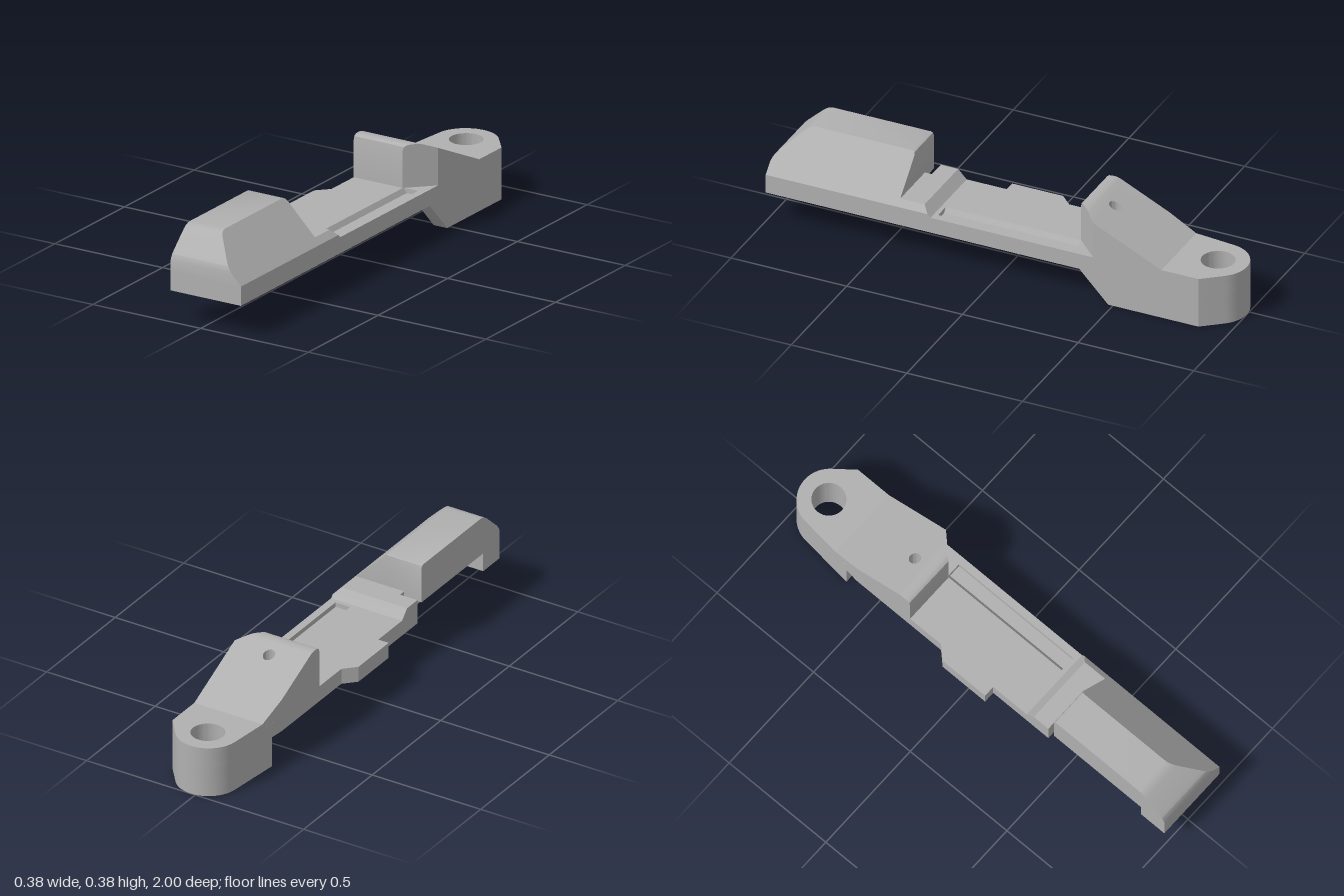
import * as THREE from 'three';
import { mergeGeometries, toCreasedNormals } from 'three/addons/utils/BufferGeometryUtils.js';

const L = -0.14, R = 0.187;            // side faces
const BOTTOM = 0.13, DECK = 0.197, SHELF = 0.21;
const BOSS = [0.02, -0.87];            // pivot boss centre (x, z)

const value = (rule, x, z) => (typeof rule === 'function' ? rule(x, z) : rule);

// Prism over an (x, z) outline; bottom and top are heights or rules of (x, z).
function plate(points, bottom, top, holes = []) {
  const clean = points.filter((p, i) => {
    const q = points[(i + 1) % points.length];
    return Math.hypot(p[0] - q[0], p[1] - q[1]) > 1e-5;
  });
  const shape = new THREE.Shape(clean.map(([x, z]) => new THREE.Vector2(x, -z)));
  for (const [x, z, r] of holes) {
    shape.holes.push(new THREE.Path().absarc(x, -z, r, 0, Math.PI * 2, true));
  }
  const geo = new THREE.ExtrudeGeometry(shape, { depth: 1, bevelEnabled: false, curveSegments: 24 });
  geo.rotateX(-Math.PI / 2);
  const p = geo.attributes.position;
  for (let i = 0; i < p.count; i++) {
    p.setY(i, value(p.getY(i) < 0.5 ? bottom : top, p.getX(i), p.getZ(i)));
  }
  return geo;
}

const rect = (x0, x1, z0, z1) => [[x0, z0], [x1, z0], [x1, z1], [x0, z1]];

// Strips along z following a [z, height] profile, with a 45 degree cut on the +x side.
function chamferedStrips(profile, x0, bottom) {
  const strips = [];
  const edge = (h) => Math.min(R, R + SHELF - h);
  for (let i = 0; i + 1 < profile.length; i++) {
    const [za, ha] = profile[i], [zb, hb] = profile[i + 1];
    const xa = edge(ha), xb = edge(hb);
    const top = (x, z) => ha + (hb - ha) * (z - za) / (zb - za);
    strips.push(plate([[x0, za], [xa, za], [xb, zb], [x0, zb]], bottom, top));
    if (R - xa > 1e-4 || R - xb > 1e-4) {
      strips.push(plate([[xa, za], [R, za], [R, zb], [xb, zb]], bottom, (x) => R + SHELF - x));
    }
  }
  return strips;
}

// Left edge of the tapering rear
const leftAt = (z) => (z > -0.59 ? L : L + 0.032 * (-0.59 - z) / 0.3);

// Rear plan from zFront back around the rounded boss
function rearOutline(zFront) {
  const pts = [[R, zFront], [R, BOSS[1]]];
  for (let i = 0; i <= 24; i++) {
    const a = THREE.MathUtils.degToRad(39 + (171 - 39) * i / 24);
    pts.push([BOSS[0] + 0.13 * Math.cos(a), BOSS[1] - 0.13 * Math.sin(a)]);
  }
  if (zFront > -0.59) pts.push([L, -0.59]);
  pts.push([leftAt(zFront), zFront]);
  return pts;
}

export function createModel() {
  const group = new THREE.Group();
  const grey = new THREE.MeshStandardMaterial({ color: 0xb0b0b0 });
  grey.name = 'grey';

  function add(name, parts) {
    const mesh = new THREE.Mesh(toCreasedNormals(mergeGeometries(parts), 0.6), grey);
    mesh.name = name;
    group.add(mesh);
  }

  const pivotHole = [BOSS[0], -0.875, 0.068];
  const pinHole = [0.02, -0.43, 0.024];
  const screwHole = [0.03, 0.785, 0.022];

  // Long bar with side tab and undercut on the left
  const bar = [
    [R, 1], [L, 1], [L, 0.88], [-0.06, 0.88], [-0.06, 0.4], [L, 0.4],
    [L, 0.115], [-0.188, 0.115], [-0.188, -0.105], [L, -0.155], [L, -0.36], [R, -0.36],
  ];
  const floor = 0.177, g0 = 0.088, g1 = 0.102, g2 = 0.155, gz0 = -0.32, gz1 = 0.27;
  add('bar', [plate(bar, BOTTOM, floor, [screwHole])]);

  // Deck around the side groove, which has one sloping wall
  const frontDeck = [[R, 1], ...bar.slice(1, 6), [L, gz1], [R, gz1]];
  const midLeft = [[L, gz1], ...bar.slice(6, 10), [L, gz0], [g0, gz0], [g0, gz1]];
  add('deck', [
    plate(frontDeck, floor, DECK, [screwHole]),
    plate(midLeft, floor, DECK),
    plate(rect(g2, R, gz0, gz1), floor, DECK),
    plate(rect(L, R, -0.36, gz0), floor, DECK),
  ]);
  add('grooveSlope', [plate(rect(g0, g1, gz0, gz1), floor,
    (x) => DECK + (floor - DECK) * (x - g0) / (g1 - g0))]);

  // Shelf under the front block
  add('frontShelf', [plate([[R, 1], ...bar.slice(1, 6), [L, 0.325], [R, 0.325]], DECK, SHELF)]);

  // Front block with sloped nose and cut side
  add('frontBlock', chamferedStrips([
    [0.43, 0.362], [0.434, 0.371], [0.443, 0.375], [0.86, 0.375], [0.875, 0.373], [0.89, 0.367],
    [0.905, 0.356], [0.975, 0.291], [0.988, 0.277], [0.996, 0.264], [1, 0.25],
  ], L, SHELF));

  // Low step behind the front block
  add('step', [
    ...chamferedStrips([[0.288, DECK], [0.301, SHELF], [0.325, 0.235], [0.4, 0.235]], L, DECK),
    ...chamferedStrips([[0.4, 0.235], [0.43, 0.235]], -0.06, DECK),
  ]);

  // Rear deck and pivot boss
  add('rearDeck', [plate(rearOutline(-0.36), BOTTOM, DECK, [pivotHole, pinHole])]);
  add('pivotBoss', [plate(rearOutline(-0.65), 0, BOTTOM, [pivotHole])]);
  add('bossTop', [plate(rearOutline(-0.71), DECK, 0.215, [pivotHole])]);

  // Sloped rib under the right side
  add('rib', [
    plate(rect(0.125, R, -0.48, -0.355), (x, z) => BOTTOM * (z + 0.48) / 0.125, BOTTOM),
    plate(rect(0.125, R, -0.65, -0.48), 0, BOTTOM),
  ]);

  // Rear wedge: rounded front lip, cut corner, long slope down to the boss
  const corner = (z) => Math.min(R, 0.09 + (-0.318 - z));
  const lip = [[-0.315, 0.352], [-0.319, 0.366], [-0.328, 0.373], [-0.34, 0.375], [-0.36, 0.375], [-0.375, 0.371]];
  const wedge = [];
  for (let i = 0; i + 1 < lip.length; i++) {
    const [za, ha] = lip[i], [zb, hb] = lip[i + 1];
    wedge.push(plate([[L, za], [corner(za), za], [corner(zb), zb], [L, zb]], DECK,
      (x, z) => ha + (hb - ha) * (z - za) / (zb - za)));
  }
  wedge.push(plate([
    [L, -0.375], [corner(-0.375), -0.375], [R, -0.415], [R, -0.71], [leftAt(-0.71), -0.71], [L, -0.59],
  ], DECK, (x, z) => 0.215 + 0.156 * (z + 0.71) / 0.335, [pinHole]));
  add('rearWedge', wedge);

  return group;
}
